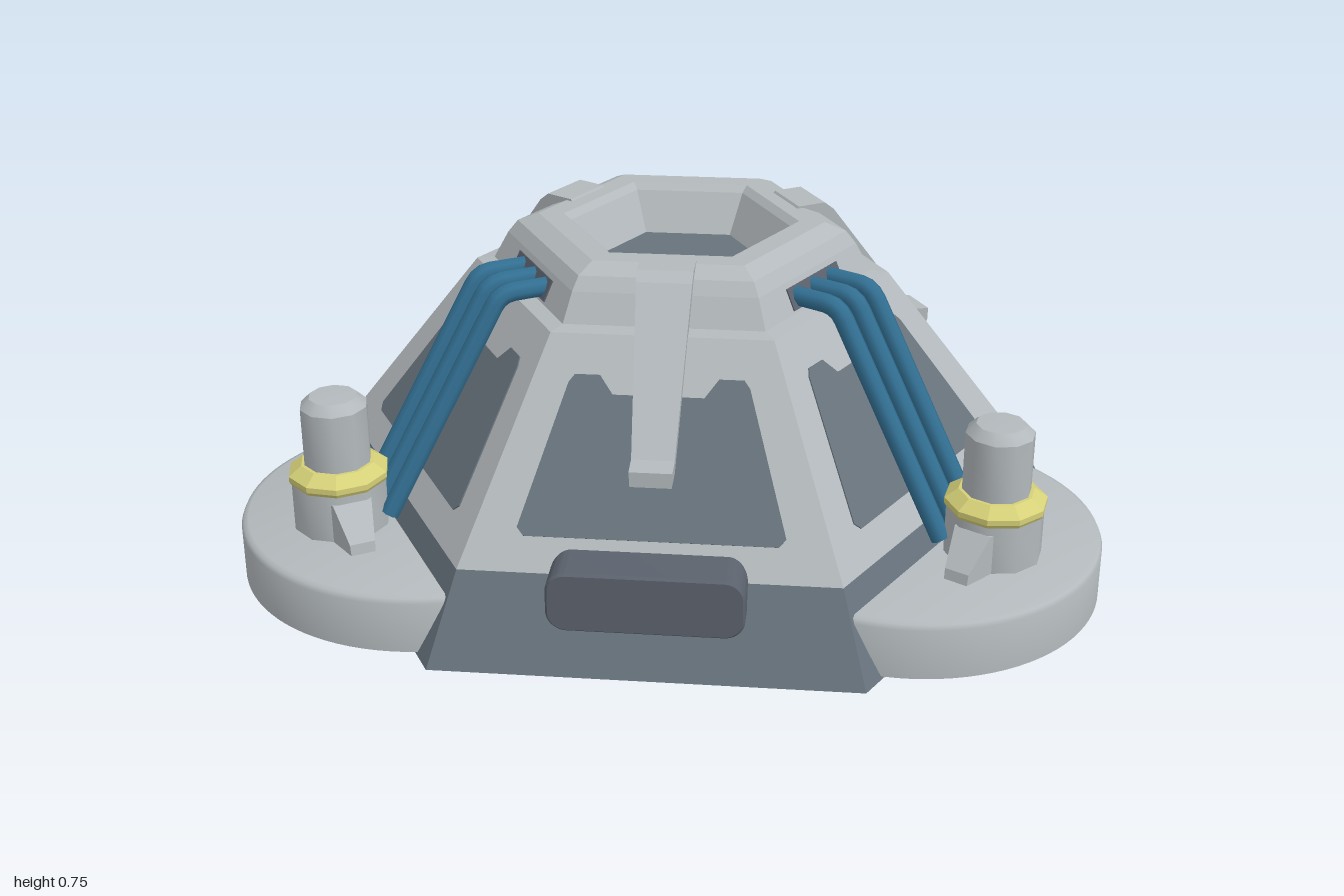
import * as THREE from 'three';
import { toCreasedNormals } from 'three/addons/utils/BufferGeometryUtils.js';

const CENTRE_Z = 0.126;
const mat = (name, color) => {
  const m = new THREE.MeshStandardMaterial({ color });
  m.name = name;
  return m;
};

// Turned shape from [radius, height] pairs
function turned(points, sides, crease, start = 0, sweep = Math.PI * 2) {
  const profile = points.map(([r, y]) => new THREE.Vector2(r, y));
  return toCreasedNormals(new THREE.LatheGeometry(profile, sides, start, sweep), crease);
}
const hexagon = (points) => turned(points, 6, 0.1, Math.PI / 6);

function polygon(points) {
  return new THREE.Shape(points.map(([x, y]) => new THREE.Vector2(x, y)));
}

function roundedRectangle(w, h, r) {
  const s = new THREE.Shape();
  s.absarc(w / 2 - r, h / 2 - r, r, 0, Math.PI / 2);
  s.absarc(r - w / 2, h / 2 - r, r, Math.PI / 2, Math.PI);
  s.absarc(r - w / 2, r - h / 2, r, Math.PI, Math.PI * 1.5);
  s.absarc(w / 2 - r, r - h / 2, r, Math.PI * 1.5, Math.PI * 2);
  return s;
}

// Scale x of every vertex by a rule
function taperX(geometry, rule) {
  const p = geometry.attributes.position;
  for (let i = 0; i < p.count; i++) p.setX(i, p.getX(i) * rule(p.getY(i), p.getZ(i)));
  return toCreasedNormals(geometry, 0.1);
}

// Side profile in [distance, height], extruded one unit wide across x
function sideExtrude(points) {
  const g = new THREE.ExtrudeGeometry(polygon(points), { depth: 1, bevelEnabled: false });
  g.translate(0, 0, -0.5);
  return g.rotateY(-Math.PI / 2);
}

export function createModel() {
  const grey = mat('lightGrey', 0xb3b9bc);
  const slate = mat('slate', 0x67727c);
  const darkSlate = mat('darkSlate', 0x5b626d);
  const blue = mat('cableBlue', 0x326f92);
  const yellow = mat('ringYellow', 0xd5d078);

  const model = new THREE.Group();
  model.name = 'bunkerBase';
  const hub = new THREE.Group();
  hub.name = 'structure';
  hub.position.z = CENTRE_Z;
  model.add(hub);

  const add = (parent, name, geometry, material) => {
    const mesh = new THREE.Mesh(geometry, material);
    mesh.name = name;
    parent.add(mesh);
    return mesh;
  };
  const sideGroup = (name, degrees) => {
    const g = new THREE.Group();
    g.name = name;
    g.rotation.y = THREE.MathUtils.degToRad(degrees);
    hub.add(g);
    return g;
  };

  // Hexagonal hull: skirt, sloped walls, collar with a sunken well
  add(hub, 'skirt', hexagon([[0, 0.025], [0.91, 0.025], [0.918, 0], [0.942, 0], [0.83, 0.195]]), slate);
  add(hub, 'walls', hexagon([[0.83, 0.195], [0.49, 0.63], [0.4, 0.64]]), grey);
  add(hub, 'collar', hexagon([[0.45, 0.63], [0.412, 0.7], [0.388, 0.73], [0.338, 0.75],
    [0.278, 0.75], [0.26, 0.735], [0.205, 0.64]]), grey);
  add(hub, 'wellFloor', hexagon([[0.21, 0.642], [0, 0.642]]), slate);

  // Wall panels: notched trapezoids lying on each sloped wall
  const apothem = Math.cos(Math.PI / 6);
  const run = (0.83 - 0.49) * apothem, rise = 0.435;
  const stretch = Math.hypot(run, rise) / rise;
  const half = [[0.275, 0.26], [0.29, 0.275], [0.198, 0.54], [0.185, 0.555], [0.13, 0.555], [0.1, 0.52]];
  const outline = [...half, ...half.map(([x, y]) => [-x, y]).reverse()]
    .map(([x, y]) => [x, (y - 0.195) * stretch]);
  const panelGeometry = new THREE.ExtrudeGeometry(polygon(outline), { depth: 0.003, bevelEnabled: false });
  for (let i = 0; i < 6; i++) {
    const side = sideGroup('wallSide', i * 60);
    const panel = add(side, 'wallPanel', panelGeometry, slate);
    panel.position.set(0, 0.195, 0.83 * apothem);
    panel.rotation.x = -Math.atan2(run, rise);
  }

  // Front hatch box
  const hatchGeometry = new THREE.ExtrudeGeometry(roundedRectangle(0.415, 0.13, 0.04),
    { depth: 0.12, bevelThickness: 0.006, bevelSize: 0.005, bevelSegments: 1, curveSegments: 6 });
  add(hub, 'frontHatch', toCreasedNormals(hatchGeometry, 0.5), darkSlate).position.set(0, 0.17, 0.668);

  // Bent fins that taper downward, on every second side
  const finGeometry = taperX(
    sideExtrude([[0.265, 0.735], [0.28, 0.755], [0.35, 0.755], [0.375, 0.735], [0.615, 0.425],
      [0.665, 0.42], [0.665, 0.385], [0.6, 0.385], [0.36, 0.69], [0.265, 0.69]]),
    (y) => 0.125 - 0.035 * (0.755 - y) / 0.37);
  for (const angle of [0, 120, 240]) add(sideGroup('finSide', angle), 'fin', finGeometry, grey);

  // Landing pads: hollow part-discs that stop inside the hull
  const padSweep = Math.PI * 0.87;
  const padGeometry = turned([[0, 0.115], [0.43, 0.115], [0.43, 0.006], [0.44, 0.006],
    [0.44, 0.125], [0.435, 0.136], [0.424, 0.14], [0, 0.14]], 40, 0.9, -padSweep / 2, padSweep);

  // Pylon parts
  const baseGeometry = turned([[0.11, 0.13], [0.11, 0.255]], 10, 0.7);
  const ringGeometry = turned([[0.108, 0.25], [0.115, 0.262], [0.115, 0.275], [0.085, 0.297], [0.07, 0.297]], 10, 0.1);
  const postGeometry = turned([[0.077, 0.285], [0.077, 0.435], [0.055, 0.457], [0, 0.46]], 10, 0.7);
  const gussetGeometry = taperX(
    sideExtrude([[0.06, 0.13], [0.175, 0.13], [0.17, 0.165], [0.105, 0.235], [0.06, 0.235]]),
    (y, z) => 0.11 - 0.055 * (z - 0.06) / 0.115);

  // Cable: level run, tight bend, then a slope down to the pylon
  const cableGeometry = (x) => {
    const v = (y, z) => new THREE.Vector3(x, y, z);
    const path = new THREE.CurvePath();
    path.add(new THREE.LineCurve3(v(0.664, 0.3), v(0.664, 0.445)));
    path.add(new THREE.QuadraticBezierCurve3(v(0.664, 0.445), v(0.664, 0.478), v(0.636, 0.494)));
    path.add(new THREE.LineCurve3(v(0.636, 0.494), v(0.17, 0.765)));
    return new THREE.TubeGeometry(path, 40, 0.023, 8);
  };

  for (const [name, angle, offsets] of [
    ['leftPad', 60, [-0.07, 0, 0.07]],
    ['backPad', 180, [-0.04, 0.04]],
    ['rightPad', 300, [-0.07, 0, 0.07]],
  ]) {
    const side = sideGroup(name, angle);
    add(side, 'padDisc', padGeometry, grey).position.z = 0.642;

    const pylon = new THREE.Group();
    pylon.name = 'pylon';
    pylon.position.z = 0.858;
    side.add(pylon);
    add(pylon, 'pylonBase', baseGeometry, grey);
    add(pylon, 'pylonRing', ringGeometry, yellow);
    add(pylon, 'pylonPost', postGeometry, grey);
    for (const turn of [1, -1]) {
      add(pylon, 'pylonGusset', gussetGeometry, grey).rotation.y = turn * Math.PI / 2;
    }

    for (const x of offsets) add(side, 'cable', cableGeometry(x), blue);

    // Dark slot where the cables leave the collar
    const slotGeometry = new THREE.BoxGeometry(offsets.length * 0.07, 0.052, 0.008);
    const slot = add(side, 'cableSlot', slotGeometry, darkSlate);
    slot.position.set(0, 0.664, 0.373);
    slot.rotation.x = -0.44;
  }
  return model;
}
